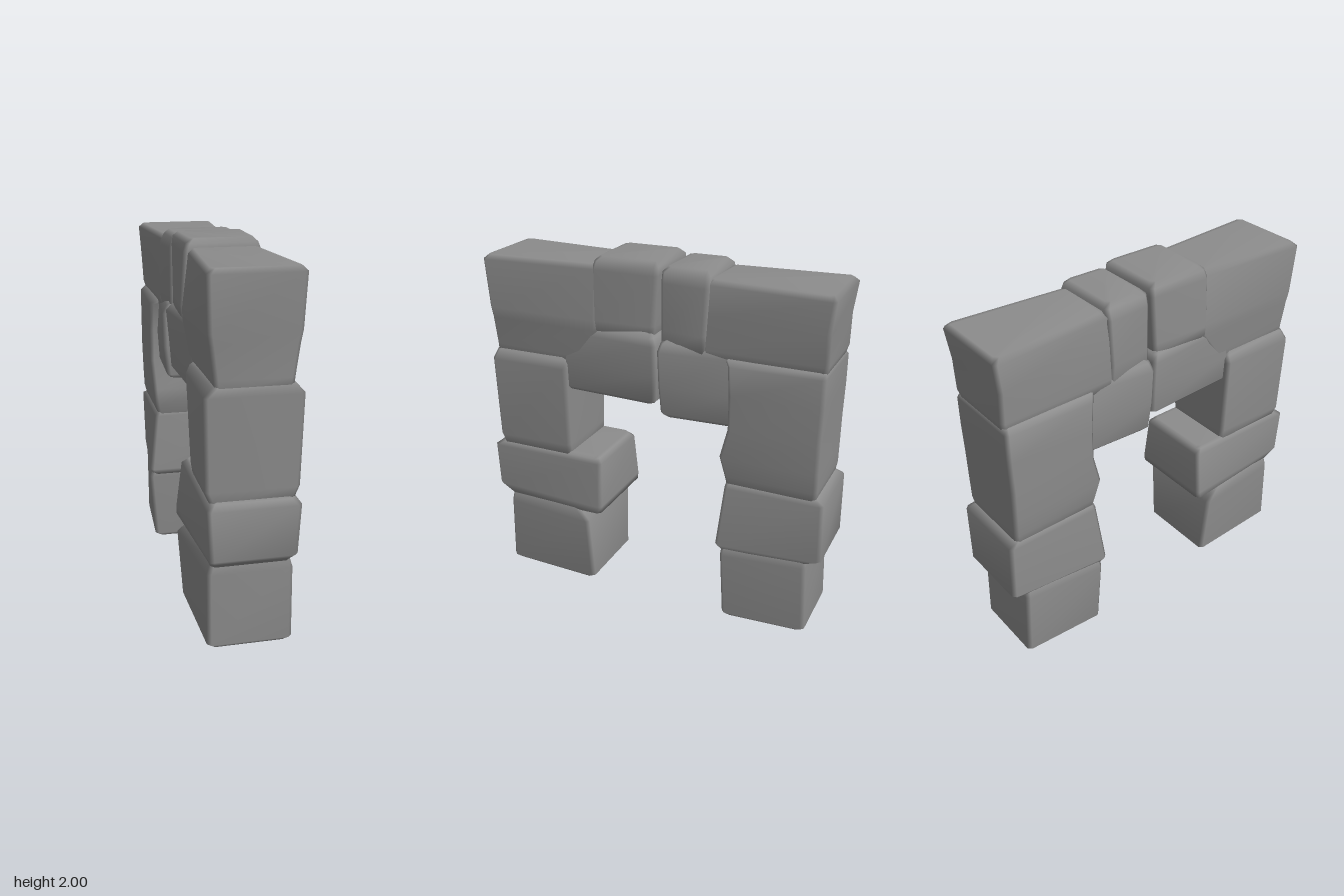
import * as THREE from 'three';

const stoneMat = new THREE.MeshStandardMaterial({ color: 0x8c8c8c });
stoneMat.name = 'grey stone';

// One worn block, lofted upward through chamfered rectangles.
// Each section: [y, zBack, zFront, half width at back, half width at front]
function stone(name, cx, sections, bevel = 0.025) {
  const inset = (s, dy) => [s[0] + dy, s[1] + bevel, s[2] - bevel, s[3] - bevel, s[4] - bevel];
  const first = sections[0], last = sections[sections.length - 1];
  const rows = [
    inset(first, 0), [first[0] + bevel, ...first.slice(1)],
    ...sections.slice(1, -1),
    [last[0] - bevel, ...last.slice(1)], inset(last, 0),
  ];
  const c = 0.02, pos = [], idx = [];
  for (const [y, zb, zf, hb, hf] of rows) {
    const ring = [
      [hf - c, zf], [hf, zf - c], [hb, zb + c], [hb - c, zb],
      [c - hb, zb], [-hb, zb + c], [-hf, zf - c], [c - hf, zf],
    ];
    for (const [x, z] of ring) pos.push(cx + x, y, z);
  }
  const n = 8, top = (rows.length - 1) * n;
  for (let r = 0; r < rows.length - 1; r++) {
    for (let i = 0; i < n; i++) {
      const a = r * n + i, b = r * n + (i + 1) % n;
      idx.push(a, b, b + n, a, b + n, a + n);
    }
  }
  for (let i = 1; i < n - 1; i++) {
    idx.push(0, i + 1, i);
    idx.push(top, top + i, top + i + 1);
  }
  const geo = new THREE.BufferGeometry();
  geo.setAttribute('position', new THREE.Float32BufferAttribute(pos, 3));
  geo.setIndex(idx);
  geo.computeVertexNormals();
  const mesh = new THREE.Mesh(geo, stoneMat);
  mesh.name = name;
  return mesh;
}

export function createModel() {
  const model = new THREE.Group();
  model.name = 'stoneArch';

  // Front half: pillar, corner and beam
  const front = new THREE.Group();
  front.name = 'frontHalf';
  front.add(
    stone('frontFoot', 0.01, [
      [0.03, 0.355, 0.935, 0.24, 0.22], [0.44, 0.365, 0.925, 0.27, 0.22],
      [0.53, 0.44, 0.92, 0.25, 0.2]]),
    stone('frontKnee', 0.01, [
      [0.47, 0.48, 0.92, 0.22, 0.2], [0.51, 0.29, 0.95, 0.26, 0.21],
      [0.55, 0.285, 1.0, 0.26, 0.22], [0.81, 0.295, 1.0, 0.23, 0.235],
      [0.845, 0.32, 0.96, 0.21, 0.21]], 0.012),
    stone('frontShaft', 0.01, [
      [0.8, 0.495, 0.95, 0.21, 0.21], [0.89, 0.495, 0.955, 0.22, 0.235],
      [1.36, 0.49, 0.965, 0.24, 0.245], [1.43, 0.49, 0.96, 0.22, 0.2]]),
    stone('frontCorner', 0.01, [
      [1.36, 0.46, 0.96, 0.2, 0.19], [1.44, 0.42, 0.96, 0.21, 0.195],
      [1.6, 0.3, 0.965, 0.22, 0.215], [1.66, 0.3, 0.97, 0.22, 0.225],
      [1.955, 0.3, 0.985, 0.19, 0.235]]),
    stone('frontBeam', 0.01, [
      [1.23, -0.045, 0.53, 0.22, 0.2], [1.4, -0.05, 0.52, 0.23, 0.21],
      [1.57, -0.055, 0.5, 0.245, 0.2], [1.63, -0.03, 0.46, 0.22, 0.19]]),
    stone('frontKeystone', 0, [
      [1.58, -0.02, 0.33, 0.2, 0.215], [1.66, -0.025, 0.33, 0.2, 0.22],
      [1.93, -0.045, 0.335, 0.2, 0.205], [2.0, -0.045, 0.325, 0.195, 0.19]]),
  );

  // Back half: slightly lower, with a thicker inner leg edge
  const back = new THREE.Group();
  back.name = 'backHalf';
  back.add(
    stone('backFoot', -0.01, [
      [0.0, -0.935, -0.455, 0.215, 0.24], [0.42, -0.92, -0.445, 0.22, 0.27],
      [0.5, -0.91, -0.45, 0.2, 0.25]]),
    stone('backKnee', -0.01, [
      [0.42, -0.93, -0.44, 0.2, 0.25], [0.48, -1.0, -0.415, 0.22, 0.27],
      [0.82, -0.995, -0.445, 0.23, 0.23], [0.87, -0.95, -0.45, 0.21, 0.215]]),
    stone('backShaft', -0.01, [
      [0.8, -0.945, -0.45, 0.21, 0.21], [0.89, -0.955, -0.44, 0.225, 0.225],
      [1.0, -0.955, -0.415, 0.23, 0.24], [1.17, -0.955, -0.46, 0.235, 0.25],
      [1.36, -0.96, -0.46, 0.235, 0.25], [1.52, -0.96, -0.45, 0.235, 0.25],
      [1.57, -0.95, -0.42, 0.21, 0.21]]),
    stone('backCorner', -0.01, [
      [1.5, -0.95, -0.3, 0.2, 0.2], [1.58, -0.965, -0.3, 0.215, 0.21],
      [1.75, -0.965, -0.3, 0.225, 0.2], [1.94, -0.985, -0.3, 0.235, 0.19]]),
    stone('backBeam', -0.005, [
      [1.165, -0.5, -0.065, 0.2, 0.22], [1.35, -0.5, -0.06, 0.21, 0.24],
      [1.54, -0.47, -0.055, 0.2, 0.245], [1.61, -0.44, -0.065, 0.18, 0.22]]),
    stone('backKeystone', -0.005, [
      [1.53, -0.32, -0.06, 0.21, 0.2], [1.65, -0.32, -0.06, 0.22, 0.2],
      [1.9, -0.33, -0.06, 0.215, 0.2], [1.98, -0.325, -0.06, 0.19, 0.185]]),
  );

  model.add(front, back);
  return model;
}
